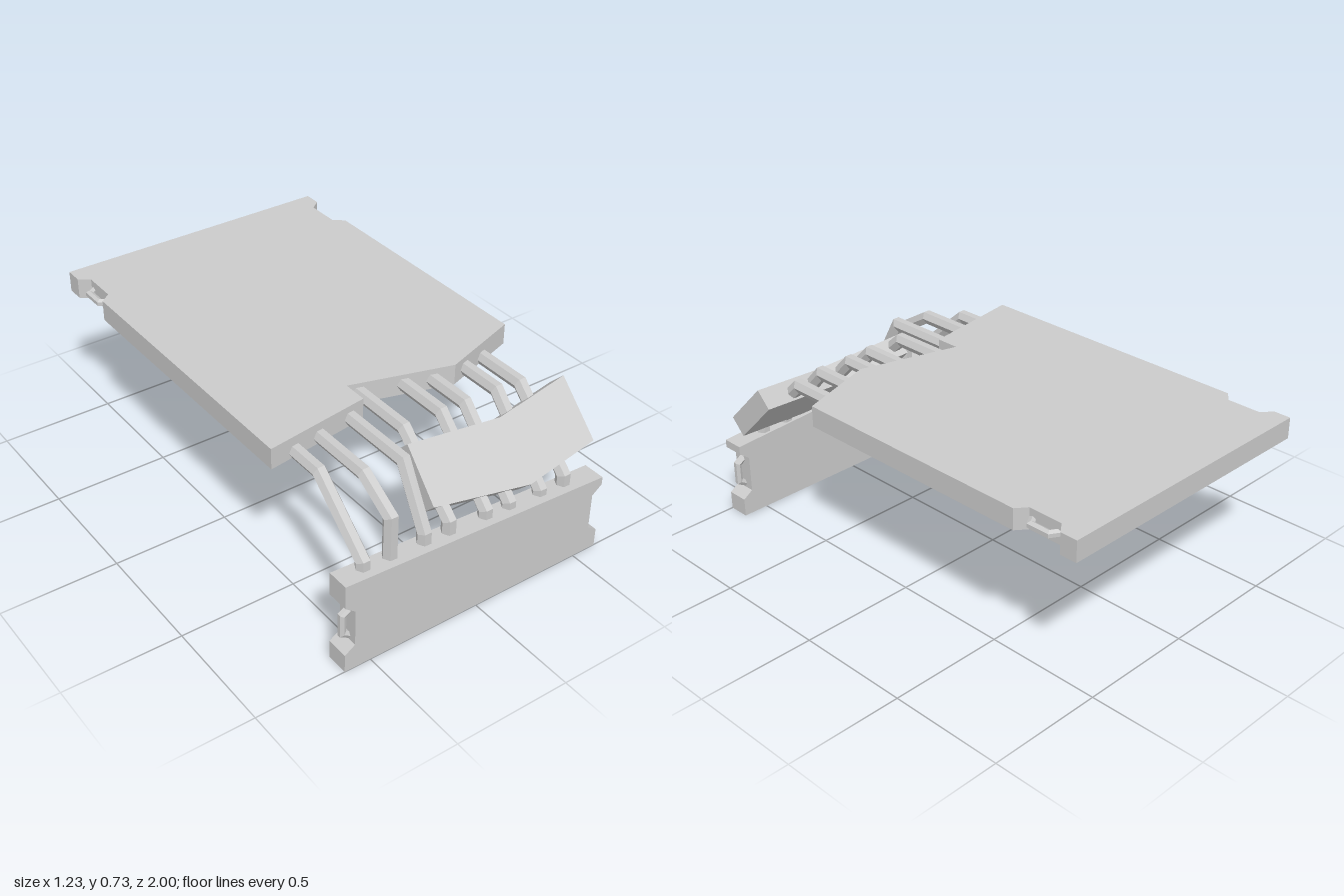
import * as THREE from 'three';

const material = new THREE.MeshStandardMaterial({ color: 0xcccccc, flatShading: true });

function addMesh(parent, name, geometry) {
  const mesh = new THREE.Mesh(geometry, material);
  mesh.name = name;
  parent.add(mesh);
  return mesh;
}

// Flat panel cut from an outline of [x, y] points
function panel(points, depth) {
  const shape = new THREE.Shape(points.map(([x, y]) => new THREE.Vector2(x, y)));
  return new THREE.ExtrudeGeometry(shape, { depth, bevelEnabled: false });
}

// Hexagonal bar swept along a planar path with mitred bends; axis is the plane's normal
function hexBar(path, axis, radius) {
  const pts = path.map((p) => new THREE.Vector3(...p));
  const normals = [];
  for (let i = 0; i < pts.length - 1; i++) {
    const t = pts[i + 1].clone().sub(pts[i]).normalize();
    normals.push(t.cross(axis));
  }
  const rings = pts.map((p, i) => {
    const a = normals[Math.max(i - 1, 0)];
    const b = normals[Math.min(i, normals.length - 1)];
    const mitre = a.clone().add(b).normalize();
    mitre.divideScalar(mitre.dot(a));
    return Array.from({ length: 6 }, (_, k) => {
      const angle = (k * Math.PI) / 3;
      return p.clone()
        .addScaledVector(axis, Math.cos(angle) * radius)
        .addScaledVector(mitre, Math.sin(angle) * radius);
    });
  });
  const corners = [];
  for (let i = 0; i < rings.length - 1; i++) {
    for (let k = 0; k < 6; k++) {
      const m = (k + 1) % 6;
      const [a, b, c, d] = [rings[i][k], rings[i][m], rings[i + 1][m], rings[i + 1][k]];
      corners.push(a, b, c, a, c, d);
    }
  }
  // End caps
  const first = rings[0], last = rings[rings.length - 1];
  for (let k = 1; k < 5; k++) {
    corners.push(first[0], first[k + 1], first[k], last[0], last[k], last[k + 1]);
  }
  const geometry = new THREE.BufferGeometry().setFromPoints(corners);
  geometry.computeVertexNormals();
  return geometry;
}

export function createModel() {
  const model = new THREE.Group();
  model.name = 'brokenSlab';
  const X = new THREE.Vector3(1, 0, 0);
  const Y = new THREE.Vector3(0, 1, 0);
  const Z = new THREE.Vector3(0, 0, 1);

  // Horizontal slab with side notches and a broken front edge (outline in x, -z)
  const slab = panel([
    [-0.615, -0.545], [-0.16, -0.48], [-0.16, -0.375], [0.265, -0.5], [0.615, -0.385],
    [0.615, 0.705], [0.57, 0.74], [0.57, 0.89], [0.615, 0.925], [0.615, 1],
    [-0.615, 1], [-0.615, 0.925], [-0.57, 0.89], [-0.57, 0.74], [-0.615, 0.705],
  ], 0.09);
  slab.rotateX(-Math.PI / 2).translate(0, 0.635, 0);
  addMesh(model, 'topSlab', slab);

  // Upright front piece with a sloping broken top edge
  const wall = panel([
    [-0.615, 0], [0.615, 0], [0.615, 0.08], [0.57, 0.11], [0.57, 0.27], [0.615, 0.305],
    [0.615, 0.34], [-0.615, 0.405], [-0.615, 0.305], [-0.57, 0.27], [-0.57, 0.11], [-0.615, 0.08],
  ], 0.095);
  wall.translate(0, 0, 0.905);
  addMesh(model, 'frontWall', wall);

  // Tilted fragment threaded on the bars
  const fragment = panel([
    [-0.16, -0.253], [0.265, -0.326], [0.615, -0.276], [0.615, 0], [0.265, -0.05], [-0.152, -0.005],
  ], 0.092);
  fragment.translate(0, 0, -0.092).rotateX(-Math.PI / 4).translate(0, 0.67, 0.735);
  addMesh(model, 'tiltedFragment', fragment);

  // Bent reinforcing bars: x, lower bend height, upper bend z, upper height, end z in slab
  const bars = [
    [-0.5, 0.43, 0.68, 0.66, 0.48],
    [-0.38, 0.57, 0.785, 0.665, 0.47],
    [-0.225, 0.43, 0.81, 0.67, 0.44],
    [-0.11, 0.43, 0.665, 0.68, 0.35],
    [0.065, 0.4, 0.665, 0.68, 0.39],
    [0.18, 0.385, 0.665, 0.675, 0.42],
    [0.335, 0.375, 0.665, 0.675, 0.42],
    [0.455, 0.39, 0.665, 0.658, 0.38],
  ];
  const barGroup = new THREE.Group();
  barGroup.name = 'reinforcingBars';
  model.add(barGroup);
  for (const [x, bendY, bendZ, topY, endZ] of bars) {
    const path = [[x, 0.33 - 0.053 * x, 0.942], [x, bendY, 0.942], [x, topY, bendZ], [x, topY, endZ]];
    addMesh(barGroup, 'reinforcingBar', hexBar(path, X, 0.03));
  }

  // Lifting loops in the notches: offset along the edge, distance from centre
  const loop = [[0.068, 0.555], [0.043, 0.597], [-0.043, 0.597], [-0.068, 0.555]];
  for (const side of [1, -1]) {
    const prefix = side > 0 ? 'left' : 'right';
    const wallPath = loop.map(([s, x]) => [side * x, 0.19 + s, 0.955]);
    addMesh(model, prefix + 'WallLoop', hexBar(wallPath, Z, 0.016));
    const slabPath = loop.map(([s, x]) => [side * x, 0.68, -0.815 + s]);
    addMesh(model, prefix + 'SlabLoop', hexBar(slabPath, Y, 0.016));
  }
  return model;
}
